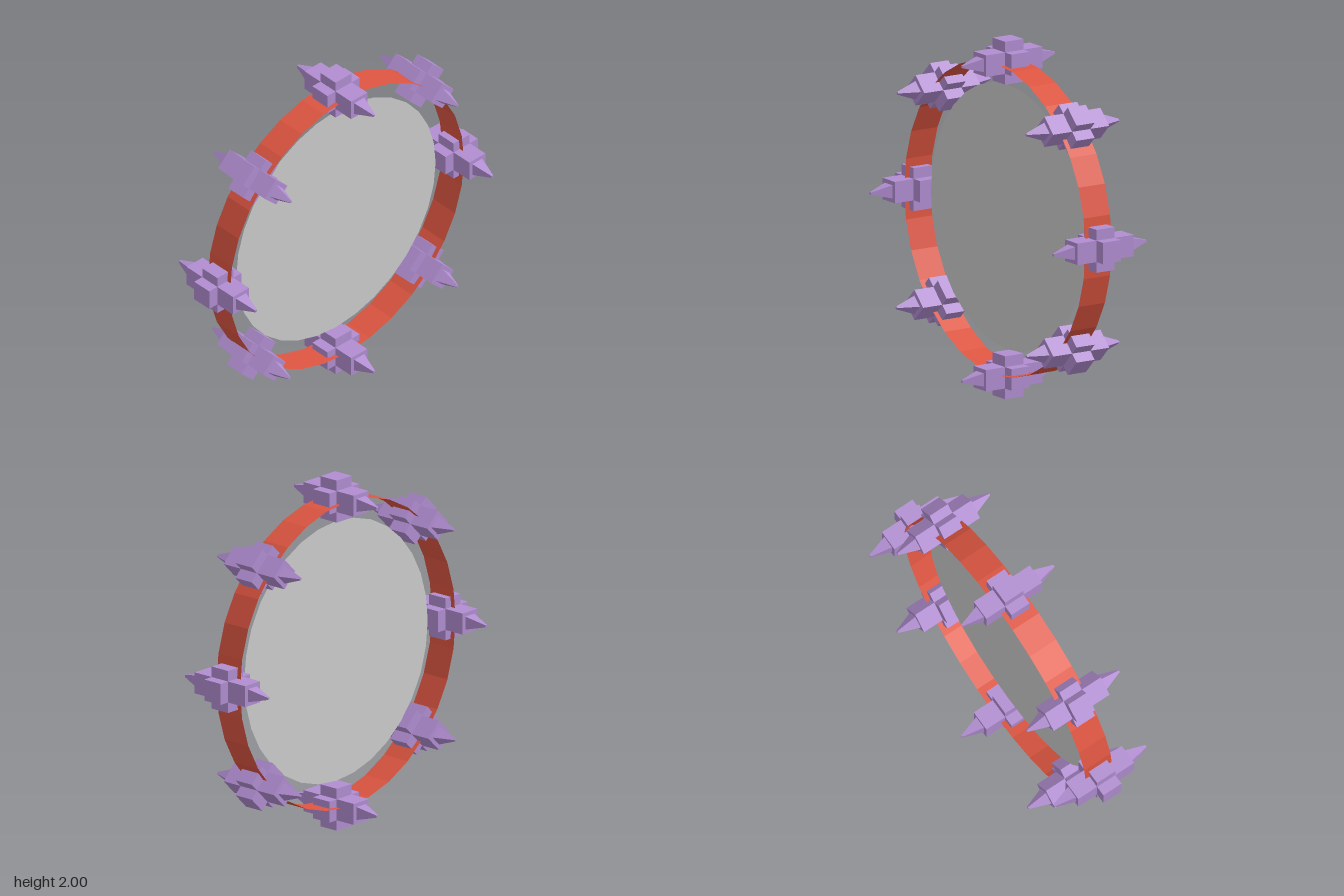
import * as THREE from 'three';

const purple = new THREE.MeshStandardMaterial({ color: 0xb28ed2, flatShading: true });
const red = new THREE.MeshStandardMaterial({ color: 0xdd5541, flatShading: true, side: THREE.DoubleSide });
const grey = new THREE.MeshStandardMaterial({ color: 0xcccccc, side: THREE.DoubleSide });

function addMesh(parent, name, geometry, material) {
  const mesh = new THREE.Mesh(geometry, material);
  mesh.name = name;
  parent.add(mesh);
  return mesh;
}

// Three crossed blocks with a blunt four-sided spike at each end of the axle
function createStud() {
  const stud = new THREE.Group();
  stud.name = 'stud';
  addMesh(stud, 'axleBlock', new THREE.BoxGeometry(0.37, 0.12, 0.12), purple);
  addMesh(stud, 'radialBlock', new THREE.BoxGeometry(0.12, 0.24, 0.12), purple);
  addMesh(stud, 'tangentBlock', new THREE.BoxGeometry(0.12, 0.12, 0.24), purple);
  for (const side of [1, -1]) {
    const spike = new THREE.CylinderGeometry(0.006 * Math.SQRT2, 0.037 * Math.SQRT2, 0.12, 4);
    spike.rotateY(Math.PI / 4);
    spike.rotateZ(-side * Math.PI / 2);
    spike.translate(side * 0.245, 0, 0);
    addMesh(stud, 'spike', spike, purple);
  }
  return stud;
}

export function createModel() {
  const model = new THREE.Group();
  model.name = 'spikedWheel';

  // Thin open rim band around the x axis
  const rim = new THREE.CylinderGeometry(0.872, 0.872, 0.174, 32, 1, true);
  rim.rotateZ(Math.PI / 2);
  addMesh(model, 'rim', rim, red).position.y = 1;

  // Flat centre disc
  const disc = new THREE.CircleGeometry(0.742, 32);
  disc.rotateY(Math.PI / 2);
  addMesh(model, 'disc', disc, grey).position.y = 1;

  // Eight studs, the diagonal ones placed slightly unevenly: [z, y]
  const places = [
    [0, 1.88], [0.62, 1.612], [0.88, 1], [0.631, 0.409],
    [0, 0.12], [-0.62, 0.382], [-0.88, 1], [-0.62, 1.623],
  ];
  places.forEach(([z, y], i) => {
    const stud = createStud();
    stud.position.set(0, y, z);
    stud.rotation.x = i * Math.PI / 4;
    model.add(stud);
  });

  return model;
}
